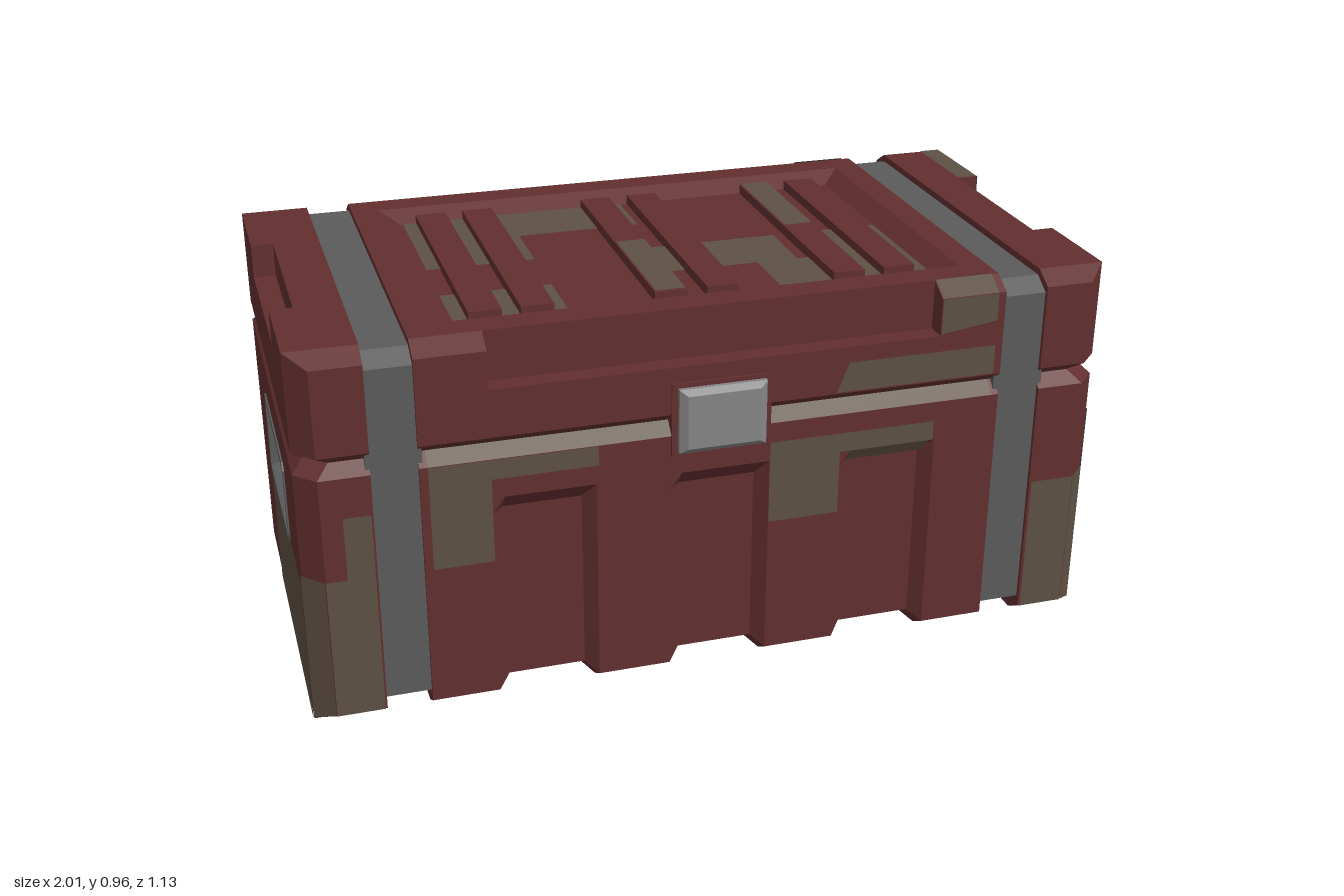
import * as THREE from 'three';

const mat = (name, color, side = THREE.FrontSide) => {
  const m = new THREE.MeshStandardMaterial({ color, side });
  m.name = name;
  return m;
};

// Flat-shaded geometry from a list of triangles
function facets(tris) {
  const g = new THREE.BufferGeometry();
  g.setAttribute('position', new THREE.Float32BufferAttribute(tris.flat(2), 3));
  g.computeVertexNormals();
  return g;
}

// Capped loft: stations are [t, ring of [u, v]], map places (t, u, v) in space
function loft(stations, map) {
  const rings = stations.map(([t, pts]) => pts.map(([u, v]) => map(t, u, v)));
  const n = rings[0].length;
  let tris = [];
  for (let i = 0; i < rings.length - 1; i++) {
    for (let j = 0; j < n; j++) {
      const k = (j + 1) % n, a = rings[i], b = rings[i + 1];
      tris.push([a[j], a[k], b[k]], [a[j], b[k], b[j]]);
    }
  }
  const cap = (i, reverse) => {
    const flat = stations[i][1].map(([u, v]) => new THREE.Vector2(u, v));
    const ccw = THREE.ShapeUtils.area(flat) > 0;
    for (const [a, b, c] of THREE.ShapeUtils.triangulateShape(flat, [])) {
      const same = (THREE.ShapeUtils.area([flat[a], flat[b], flat[c]]) > 0) === ccw;
      const t = [rings[i][a], rings[i][b], rings[i][c]];
      tris.push(same !== reverse ? t : t.reverse());
    }
  };
  cap(0, true);
  cap(rings.length - 1, false);
  // turn the surface outward if the mapping mirrored it
  const v = tris.map((t) => t.map((p) => new THREE.Vector3(...p)));
  const volume = v.reduce((s, [a, b, c]) => s + a.dot(b.clone().cross(c)), 0);
  if (volume < 0) tris = tris.map(([a, b, c]) => [a, c, b]);
  return facets(tris);
}

// Close a half outline by mirroring one coordinate
const mirror = (half, axis) => half.concat(
  half.slice().reverse().map((p) => p.map((c, i) => (i === axis ? -c : c))));

export function createModel() {
  const model = new THREE.Group();
  model.name = 'crate';
  const red = mat('dark red', 0x622f30);
  const tan = mat('camouflage brown', 0x5e5044, THREE.DoubleSide);
  const strapGrey = mat('strap grey', 0x5b5b5b);
  const latchGrey = mat('latch grey', 0x858585);
  const add = (name, geo, m, parent = model) => {
    const mesh = new THREE.Mesh(geo, m);
    mesh.name = name;
    parent.add(mesh);
    return mesh;
  };
  const box = (name, m, w, h, d, x, y, z) =>
    add(name, new THREE.BoxGeometry(w, h, d), m).position.set(x, y, z);
  const alongX = (t, z, y) => [t, y, z];

  // Middle of the base, with three grooves wrapping front, bottom and back
  const baseRing = (d) => mirror([[0.485 - d, d * 0.8], [0.535 - d, 0.03 + d * 0.8],
    [0.535 - d, 0.515], [0.535, 0.555], [0.535, 0.655], [0.505, 0.685]], 0);
  const baseStations = [[-0.72, baseRing(0)]];
  for (const c of [-0.43, 0, 0.43]) {
    for (const [dx, d] of [[-0.125, 0], [-0.095, 0.03], [0.095, 0.03], [0.125, 0]]) {
      baseStations.push([c + dx, baseRing(d)]);
    }
  }
  baseStations.push([0.72, baseRing(0)]);
  add('baseMiddle', loft(baseStations, alongX), red);

  // Middle of the lid, with cut long edges and a sunken top panel
  const lidRing = (cut, sunk) => mirror([[0.505, 0.685], [0.535, 0.71], [0.535, 0.83],
    cut ? [0.485, 0.83] : [0.535, 0.925], [0.485, 0.955], [0.41, 0.955],
    sunk ? [0.36, 0.925] : [0.41, 0.955]], 0);
  add('lidMiddle', loft([
    [-0.72, lidRing(0, 0)], [-0.65, lidRing(0, 0)], [-0.6, lidRing(0, 1)],
    [-0.553, lidRing(0, 1)], [-0.553, lidRing(1, 1)], [0.553, lidRing(1, 1)],
    [0.553, lidRing(0, 1)], [0.6, lidRing(0, 1)], [0.65, lidRing(0, 0)], [0.72, lidRing(0, 0)],
  ], alongX), red);

  // Ribs on the lid panel
  for (const x of [-0.52, -0.395, -0.07, 0.06, 0.385, 0.515]) {
    box('lidRib', red, 0.08, 0.03, 0.715, x, 0.935, 0);
  }

  // Straps
  const strapRing = mirror([[0.475, 0.025], [0.525, 0.055], [0.525, 0.908], [0.48, 0.938]], 0);
  for (const s of [-1, 1]) {
    add('strap', loft([[s * 0.71, strapRing], [s * 0.84, strapRing]], alongX), strapGrey);
  }

  // Ends with cut corners, a handle pocket in the base and a notch in the lid
  const endRing = (zo, zc, xo, hw, p) => mirror(
    [[0.83, zo], [xo - 0.05, zo], [xo, zc], [xo, hw], [p, hw]], 1);
  const full = (hw, p = 1) => endRing(0.535, 0.485, 1, hw, p);
  for (const s of [-1, 1]) {
    const up = (t, x, z) => [s * x, t, z];
    add('baseEnd', loft([
      [0, endRing(0.485, 0.485, 1, 0.21, 1)], [0.03, full(0.21)], [0.345, full(0.21)],
      [0.345, full(0.21, 0.9)], [0.54, full(0.21, 0.9)], [0.54, full(0.21)],
      [0.655, full(0.21)], [0.685, endRing(0.505, 0.455, 0.97, 0.21, 0.97)],
    ], up), red);
    add('lidEnd', loft([
      [0.685, endRing(0.505, 0.455, 0.97, 0.225, 0.97)], [0.71, full(0.225)],
      [0.87, full(0.225)], [0.87, full(0.225, 0.945)], [0.925, full(0.225, 0.945)],
      [0.955, endRing(0.485, 0.485, 1, 0.225, 0.945)],
    ], up), red);

    // Handle pocket lining, rim and bar
    box('pocketBack', strapGrey, 0.008, 0.195, 0.42, s * 0.903, 0.4425, 0);
    for (const k of [-1, 1]) {
      box('pocketWall', strapGrey, 0.1, 0.008, 0.42, s * 0.95, 0.4425 + k * 0.0945, 0);
      box('pocketSide', strapGrey, 0.1, 0.195, 0.008, s * 0.95, 0.4425, k * 0.207);
    }
    const rim = new THREE.Shape([[0.225, 0.095], [0.21, 0.112], [-0.21, 0.112], [-0.225, 0.095],
      [-0.225, -0.095], [-0.21, -0.112], [0.21, -0.112], [0.225, -0.095]]
      .map(([x, y]) => new THREE.Vector2(x, y)));
    rim.holes.push(new THREE.Path([[0.205, 0.094], [0.205, -0.094], [-0.205, -0.094], [-0.205, 0.094]]
      .map(([x, y]) => new THREE.Vector2(x, y))));
    const rimMesh = add('pocketRim',
      new THREE.ExtrudeGeometry(rim, { depth: 0.006, bevelEnabled: false }), strapGrey);
    rimMesh.rotation.y = s * Math.PI / 2;
    rimMesh.position.set(s * 0.998, 0.4425, 0);
    const bar = add('handleBar', new THREE.CylinderGeometry(0.021, 0.021, 0.42, 16), latchGrey);
    bar.rotation.x = Math.PI / 2;
    bar.position.set(s * 0.965, 0.486, 0);

    // Latches on front and back
    const plate = (w, h) => [[-w, 0.697 - h], [w, 0.697 - h], [w, 0.697 + h], [-w, 0.697 + h]];
    const out = (t, x, y) => [x, y, s * t];
    add('latchSeat', loft([[0.5, plate(0.123, 0.093)], [0.542, plate(0.123, 0.093)]], out), red);
    add('latch', loft([[0.52, plate(0.108, 0.082)], [0.553, plate(0.108, 0.082)],
      [0.565, plate(0.09, 0.068)]], out), latchGrey);
  }

  // Camouflage patches, each a thin face just above the surface
  const patches = [];
  const quad = (a, b, c, d) => patches.push([a, b, c], [a, c, d]);
  const onZ = (z, x0, x1, y0, y1) => quad([x0, y0, z], [x1, y0, z], [x1, y1, z], [x0, y1, z]);
  const onX = (x, z0, z1, y0, y1) => quad([x, y0, z0], [x, y0, z1], [x, y1, z1], [x, y1, z0]);
  const onY = (y, x0, x1, z0, z1) => quad([x0, y, z0], [x1, y, z0], [x1, y, z1], [x0, y, z1]);
  // a strip along x that leans between two heights and depths
  const lean = (x0, x1, y0, z0, y1, z1) => quad([x0, y0, z0], [x1, y0, z0], [x1, y1, z1], [x0, y1, z1]);
  const F = 0.538;

  // front of the base
  onZ(F, -0.7, -0.555, 0.39, 0.655);
  onZ(F, -0.555, -0.3, 0.605, 0.655);
  onZ(F, 0.125, 0.305, 0.39, 0.605);
  onZ(F, 0.305, 0.55, 0.555, 0.605);
  lean(0.32, 0.54, 0.518, 0.511, 0.557, F);
  lean(-0.7, -0.12, 0.657, F, 0.687, 0.508);
  lean(0.12, 0.7, 0.657, F, 0.687, 0.508);
  // front and back of the lid
  quad([0.29, 0.715, F], [0.7, 0.715, F], [0.7, 0.79, F], [0.32, 0.79, F]);
  quad([0.555, 0.835, F], [0.7, 0.855, F], [0.7, 0.925, F], [0.555, 0.925, F]);
  lean(0.555, 0.7, 0.927, 0.537, 0.957, 0.487);
  onZ(-F, 0.555, 0.7, 0.715, 0.925);
  lean(0.555, 0.7, 0.927, -0.537, 0.957, -0.487);
  onZ(-F, 0.35, 0.555, 0.715, 0.75);
  lean(-0.5, -0.12, 0.657, -F, 0.687, -0.508);
  onZ(-F, -0.45, -0.13, 0.625, 0.655);
  // lower front corners
  for (const s of [-1, 1]) {
    onZ(F, s * 0.835, s * 0.95, 0.03, 0.395);
    lean(s * 0.835, s * 0.95, 0, 0.488, 0.03, F);
    quad([s * 0.952, 0.03, 0.537], [s * 1.002, 0.005, 0.487],
      [s * 1.002, 0.395, 0.487], [s * 0.952, 0.395, 0.537]);
  }
  onZ(F, -0.9, -0.835, 0.395, 0.555);
  // right end, left around the pocket rim
  onX(1.003, 0, 0.485, 0, 0.331);
  onX(1.003, 0.224, 0.485, 0.331, 0.555);
  onX(1.003, -0.485, 0, 0.79, 0.87);
  onX(1.003, -0.485, -0.225, 0.87, 0.955);
  onY(0.957, 0.945, 1, -0.485, -0.225);
  // left end
  onX(-1.003, -0.22, 0.485, 0, 0.331);
  onX(-1.003, 0.224, 0.485, 0.331, 0.37);
  // lid panel
  const P = 0.928;
  onY(P, -0.595, 0, -0.358, -0.18);
  onY(P, -0.595, -0.32, -0.18, 0);
  onY(P, -0.595, -0.32, 0.18, 0.358);
  onY(P, -0.1, 0.315, 0, 0.18);
  onY(P, 0.21, 0.595, 0.18, 0.358);
  onY(P, 0.425, 0.595, 0, 0.18);
  onY(0.953, 0.348, 0.422, -0.355, 0);
  onY(0.953, -0.107, -0.033, 0, 0.355);
  add('camouflagePatches', facets(patches), tan);

  return model;
}
